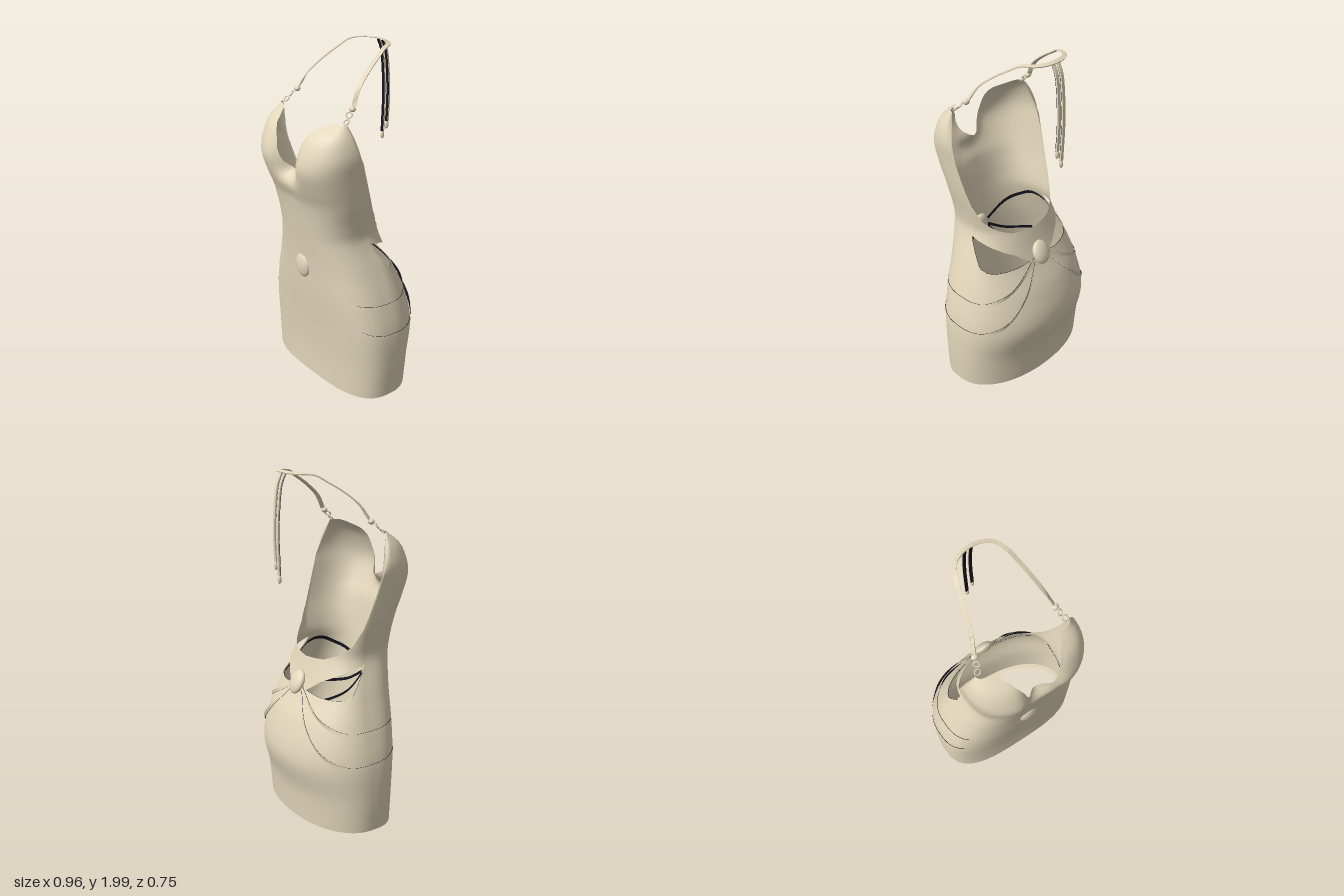
import * as THREE from 'three';
import { mergeGeometries, mergeVertices } from 'three/addons/utils/BufferGeometryUtils.js';

const fabric = new THREE.MeshStandardMaterial({ color: 0xe2d6ba, side: THREE.DoubleSide });
fabric.name = 'beige fabric';
const lining = new THREE.MeshStandardMaterial({ color: 0x14141f, side: THREE.DoubleSide });
lining.name = 'dark lining';

// Smooth (or straight) interpolation through [key, value] pairs
function interp(keys, t, smooth = true) {
  const n = keys.length;
  if (t <= keys[0][0]) return keys[0][1];
  if (t >= keys[n - 1][0]) return keys[n - 1][1];
  let i = 0;
  while (t > keys[i + 1][0]) i++;
  const [x0, y0] = keys[i], [x1, y1] = keys[i + 1], h = x1 - x0, u = (t - x0) / h;
  if (!smooth) return y0 + (y1 - y0) * u;
  const slope = k => {
    const a = keys[Math.max(k - 1, 0)], b = keys[Math.min(k + 1, n - 1)];
    return (b[1] - a[1]) / (b[0] - a[0]);
  };
  const u2 = u * u, u3 = u2 * u;
  return (2 * u3 - 3 * u2 + 1) * y0 + (u3 - 2 * u2 + u) * h * slope(i)
    + (3 * u2 - 2 * u3) * y1 + (u3 - u2) * h * slope(i + 1);
}

// Body profiles by height: half width, widest z, front z, back z, front squareness, cleavage depth
const WIDTH = [[0, .47], [.2, .48], [.42, .473], [.6, .43], [.8, .36], [.97, .297], [1.05, .3], [1.2, .325], [1.4, .343], [1.5, .348], [1.6, .32], [1.67, .275]];
const MID = [[0, -.04], [.6, -.04], [.8, -.03], [.95, .015], [1.1, .02], [1.2, .045], [1.35, .08], [1.5, .12], [1.67, .16]];
const FRONT = [[0, .2], [.2, .205], [.4, .22], [.6, .24], [.8, .255], [1, .28], [1.2, .312], [1.3, .352], [1.42, .388], [1.53, .358], [1.61, .305], [1.67, .2]];
const BACK = [[0, -.31], [.2, -.328], [.4, -.373], [.6, -.325], [.77, -.24], [.95, -.18], [1.1, -.14], [1.3, -.08], [1.67, .05]];
const SQUARE = [[0, 3], [1, 2.9], [1.4, 2.8], [1.67, 2.6]];
const DIP = [[0, 0], [1.1, 0], [1.2, .002], [1.3, .014], [1.38, .095], [1.67, .12]];

// Point on the body: angle in degrees (0 front, 90 left side, 180 back) and height
function body(deg, y, out = 0) {
  const a = THREE.MathUtils.degToRad(deg), s = Math.sin(a), m = Math.abs(s);
  const front = Math.cos(a) > 0, n = front ? interp(SQUARE, y) : 2.12;
  const r = Math.pow(Math.max(0, 1 - Math.pow(m, n)), 1 / n), mid = interp(MID, y);
  let z = mid + r * ((front ? interp(FRONT, y) : interp(BACK, y)) - mid);
  if (front) z -= interp(DIP, y) * Math.exp(-Math.pow(m / .24, 2));
  return new THREE.Vector3(s * (interp(WIDTH, y) + out), y, z + out * Math.cos(a));
}

// Neckline by fraction of the half width; other edges by angle from the front
const NECK = [[0, 1.37], [.08, 1.38], [.17, 1.405], [.245, 1.455], [.29, 1.52], [.38, 1.58], [.5, 1.625], [.7, 1.658], [.85, 1.664], [1, 1.66]];
const BAND_TOP = [[90, 1.66], [92.5, 1.46], [95, 1.3], [100, 1.15], [110, 1.06], [130, 1], [150, .965], [180, .95]];
const BAND_LOW = [[90, .95], [110, .925], [130, .89], [150, .845], [167.5, .775], [180, .78]];
const SKIRT_TOP = [[90, .95], [95, .87], [105, .795], [120, .765], [150, .762], [167.5, .775], [180, .78]];
const fold = deg => Math.abs(((deg + 180) % 360 + 360) % 360 - 180);
const topEdge = deg => {
  const f = fold(deg);
  return f <= 90 ? interp(NECK, Math.sin(THREE.MathUtils.degToRad(f)), false) : interp(BAND_TOP, f, false);
};
const bandLow = deg => interp(BAND_LOW, fold(deg), false);
const skirtTop = deg => interp(SKIRT_TOP, fold(deg), false);

// Grid surface from a function of u and v
function grid(cols, rows, fn) {
  const pos = [], index = [];
  for (let i = 0; i <= cols; i++) for (let j = 0; j <= rows; j++) pos.push(...fn(i / cols, j / rows).toArray());
  for (let i = 0; i < cols; i++) for (let j = 0; j < rows; j++) {
    const a = i * (rows + 1) + j, b = a + rows + 1;
    index.push(a, b, b + 1, a, b + 1, a + 1);
  }
  const g = new THREE.BufferGeometry();
  g.setAttribute('position', new THREE.Float32BufferAttribute(pos, 3));
  g.setIndex(index);
  g.computeVertexNormals();
  return g;
}

// Flat strap with a rectangular section swept along a curve
function strap(points, width, thick, up) {
  const curve = new THREE.CatmullRomCurve3(points.map(p => new THREE.Vector3(...p)));
  const corners = [[-1, -1], [-1, 1], [1, 1], [1, -1], [-1, -1]];
  const g = grid(40, 4, (u, v) => {
    const t = curve.getTangent(u), side = t.clone().cross(up).normalize(), face = side.clone().cross(t);
    const [a, b] = corners[Math.round(v * 4)];
    return curve.getPoint(u).addScaledVector(side, a * width / 2).addScaledVector(face, b * thick / 2);
  }).toNonIndexed();
  g.computeVertexNormals();
  return g;
}

export function createModel() {
  const model = new THREE.Group();
  const add = (name, geometry, material = fabric) => {
    const mesh = new THREE.Mesh(geometry, material);
    mesh.name = name;
    model.add(mesh);
    return mesh;
  };
  const bead = (name, x, y, z, sx, sy, sz) => {
    const mesh = add(name, new THREE.SphereGeometry(1, 20, 14));
    mesh.position.set(x, y, z);
    mesh.scale.set(sx, sy, sz);
    return mesh;
  };

  // Dress: skirt ring and bodice ring, welded except at the two back cut-outs
  const ring = (low, high) => grid(144, 26, (u, v) => {
    const deg = u * 360 - 180, a = low(deg);
    return body(deg, a + (high(deg) - a) * v);
  });
  const shell = mergeGeometries([ring(() => .012, skirtTop), ring(bandLow, topEdge)]);
  shell.deleteAttribute('normal');
  const dress = mergeVertices(shell, 1e-4);
  dress.computeVertexNormals();
  add('dress', dress);

  // Hem turned inward, and the narrow panel between the leg openings
  add('hem', grid(72, 1, (u, v) => {
    const p = body(u * 360 - 180, .012);
    return v ? p : new THREE.Vector3(p.x * .94, .012, -.05 + (p.z + .05) * (p.z > -.05 ? .8 : .9));
  }));
  const half = [[-.29, .15], [-.16, .085], [-.04, .025], [.03, .025], [.15, .1]];
  add('innerPanel', grid(half.length - 1, 1, (u, v) => {
    const [z, w] = half[Math.round(u * (half.length - 1))];
    return new THREE.Vector3((v * 2 - 1) * w, .02, z);
  }));

  // Oval ornaments at front and back
  bead('frontOrnament', 0, .77, .25, .06, .075, .026);
  bead('backOrnament', 0, .805, -.24, .06, .072, .028).rotation.x = .45;

  // Flat cords with a dark inner face: inside the dress at the front, over the hips at the sides and back
  const cords = [
    [[8, .75], [25, .6], [45, .505], [68, .445], [90, .418], [115, .42], [135, .48], [155, .62], [174, .78]],
    [[8, .76], [30, .67], [60, .62], [90, .597], [115, .6], [135, .64], [155, .71], [174, .79]],
    [[8, .79], [35, .86], [60, .9], [87, .935], [95, .86], [105, .785], [120, .757], [150, .755], [172, .77]]
  ];
  const OFFSET = [[45, -.007], [65, .006]];
  for (const side of [1, -1]) {
    cords.forEach((keys, k) => {
      const first = keys[0][0], last = keys[keys.length - 1][0];
      const face = inset => grid(80, 1, (u, v) => {
        const d = first + (last - first) * u;
        const flare = k < 2 ? v * .014 * Math.exp(-Math.pow((d - 143) / 14, 2)) : 0;
        const out = k < 2 ? interp(OFFSET, d, false) : -.005;
        return body(side * d, interp(keys, d) + (v - .5) * .02, out + flare - inset);
      });
      add('hipCord' + (k + 1), face(0));
      add('hipCordLining' + (k + 1), face(.003), lining);
    });

    // Rings and bead joining each cup to the neck strap
    [[.263, 1.674, .15], [.25, 1.703, .122]].forEach((p, i) => {
      const link = add('strapRing', new THREE.TorusGeometry(.016, .004, 6, 16));
      link.position.set(side * p[0], p[1], p[2]);
      link.rotation.set(-.75, i ? side * .5 : 0, 0);
    });
    bead('strapBead', side * .24, 1.727, .092, .02, .016, .017);
  }

  // Neck strap, one band from bead to bead
  const path = [[.238, 1.74, .08], [.215, 1.82, .03], [.188, 1.895, -.06], [.165, 1.945, -.14], [.145, 1.98, -.2], [.11, 1.988, -.27], [.05, 1.99, -.302]];
  const across = [...path, [0, 1.992, -.308], ...path.map(([x, y, z]) => [-x, y, z]).reverse()];
  add('neckStrap', strap(across, .024, .006, new THREE.Vector3(0, 1, -.35)));

  // Two hanging ties with a dark front face and drop ends
  for (const [x, end] of [[-.016, 1.44], [.02, 1.51]]) {
    const tie = dz => [[x, 1.985, -.308 + dz], [x, 1.93, -.332 + dz], [x, 1.8, -.35 + dz], [x, 1.65, -.357 + dz], [x, end, -.352 + dz]];
    const toFront = new THREE.Vector3(0, 0, 1);
    add('tie', strap(tie(0), .02, .008, toFront));
    add('tieLining', strap(tie(.006), .019, .002, toFront), lining);
    bead('tieDrop', x, end - .02, -.35, .011, .024, .011);
  }
  return model;
}
